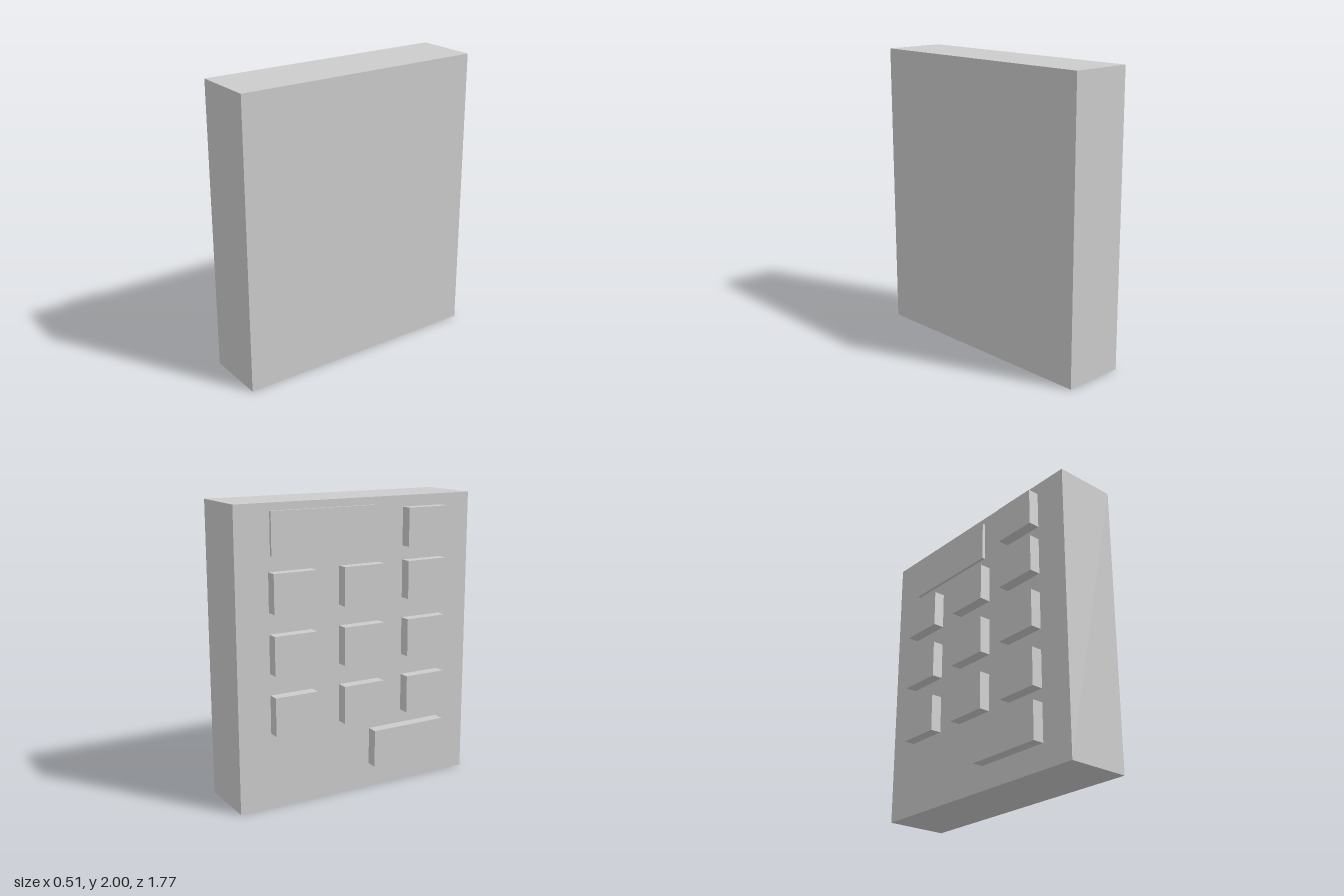
import * as THREE from 'three';

const material = new THREE.MeshStandardMaterial({ color: 0xcccccc });
const FACE_X = -0.18; // plane of the keypad side

// Box given by its extents along each axis
function block(name, [x0, x1], [y0, y1], [z0, z1]) {
  const mesh = new THREE.Mesh(new THREE.BoxGeometry(x1 - x0, y1 - y0, z1 - z0), material);
  mesh.position.set((x0 + x1) / 2, (y0 + y1) / 2, (z0 + z1) / 2);
  mesh.name = name;
  return mesh;
}

export function createModel() {
  const model = new THREE.Group();
  model.name = 'keypad';

  // Housing and the thin display plate
  model.add(block('housing', [FACE_X, 0.257], [0, 2], [-0.883, 0.883]));
  model.add(block('display', [-0.2, FACE_X], [1.67, 1.95], [-0.64, 0.107]));

  // Raised keys
  const keys = new THREE.Group();
  keys.name = 'keys';
  const keyX = [-0.257, FACE_X];
  const keyHeight = 0.258;
  const addKey = (name, y, z0, z1) => keys.add(block(name, keyX, [y, y + keyHeight], [z0, z1]));

  // 3 x 3 grid of number keys
  const columns = [-0.655, -0.146, 0.346];
  for (const y of [1.313, 0.916, 0.515]) {
    for (const z of columns) addKey('numberKey', y, z, z + 0.304);
  }
  // Key beside the display and wide key at the bottom
  addKey('topKey', 1.666, 0.346, 0.65);
  addKey('wideKey', 0.165, 0.09, 0.65);
  model.add(keys);

  return model;
}
